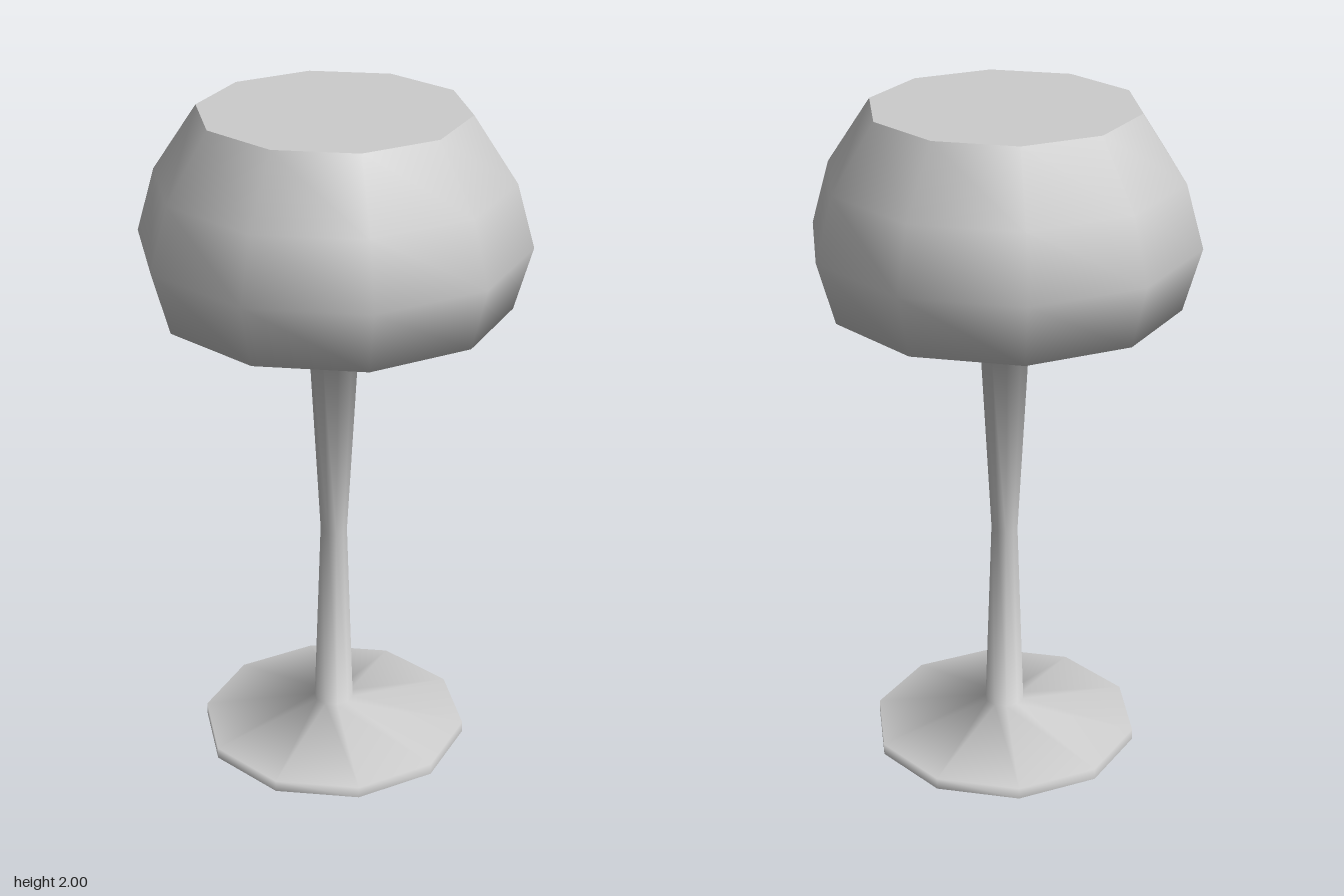
import * as THREE from 'three';

const SIDES = 10;

// Outer profile from the foot's lower edge to the rim: [radius, height]
const PROFILE = [
  [0.405, 0], [0.405, 0.035], [0.06, 0.103],              // foot
  [0.04, 0.7], [0.071, 1.27],                             // stem
  [0.51, 1.44], [0.562, 1.625], [0.51, 1.81], [0.384, 2], // bowl
];

export function createModel() {
  const group = new THREE.Group();
  const material = new THREE.MeshStandardMaterial({ color: 0xcccccc });

  const add = (name, geometry) => {
    const mesh = new THREE.Mesh(geometry, material);
    mesh.name = name;
    group.add(mesh);
    return mesh;
  };

  // One smooth turned surface, so the shading runs on across the joints
  const points = PROFILE.map(([r, y]) => new THREE.Vector2(r, y));
  const turned = new THREE.LatheGeometry(points, SIDES);
  const bands = PROFILE.length - 1;
  const indices = Array.from(turned.index.array);

  // Takes the bands from one profile point to another as a part
  const section = (from, to) => {
    const geometry = turned.clone();
    geometry.setIndex(indices.filter((_, k) => {
      const band = Math.floor(k / 6) % bands;
      return band >= from && band < to;
    }));
    return geometry;
  };
  add('foot', section(0, 2));
  add('stem', section(2, 4));
  add('bowl', section(4, bands));

  // Flat discs closing the foot and the bowl, corners on the z axis
  const disc = (name, [r, y], tilt) => {
    const geometry = new THREE.CircleGeometry(r, SIDES, Math.PI / 2);
    geometry.rotateX(tilt);
    add(name, geometry).position.y = y;
  };
  disc('footUnderside', PROFILE[0], Math.PI / 2);
  disc('bowlTop', PROFILE[bands], -Math.PI / 2);

  return group;
}
